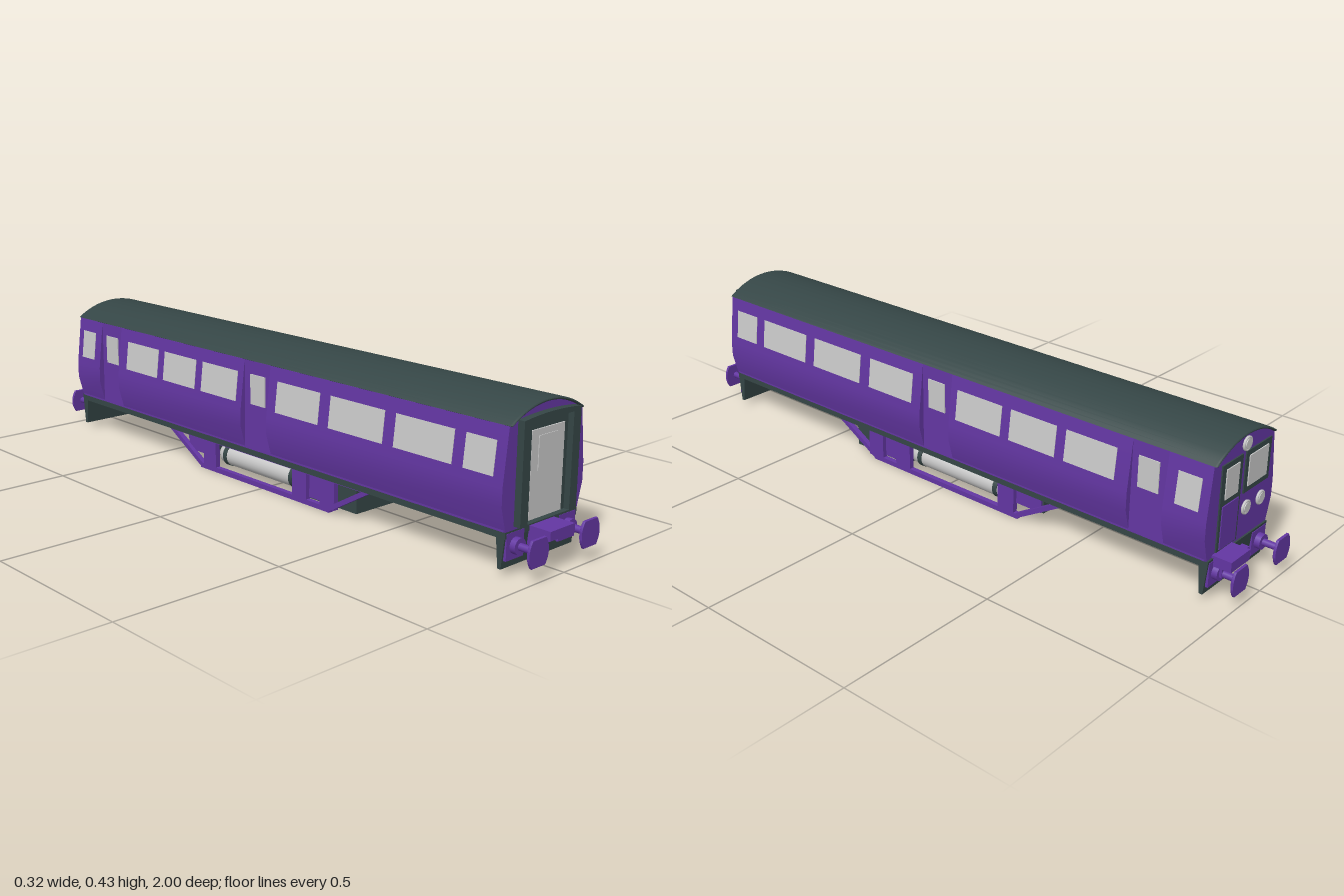
import * as THREE from 'three';
import { toCreasedNormals } from 'three/addons/utils/BufferGeometryUtils.js';

const mat = (name, color) => {
  const m = new THREE.MeshStandardMaterial({ color });
  m.name = name;
  return m;
};

export function createModel() {
  const model = new THREE.Group();
  model.name = 'railwayCoach';
  const purple = mat('purplePaint', 0x6336a2);
  const dark = mat('darkGreyGreen', 0x354646);
  const grey = mat('lightGrey', 0xc8c8c8);

  const add = (name, geo, m, x = 0, y = 0, z = 0) => {
    const mesh = new THREE.Mesh(geo, m);
    mesh.name = name;
    mesh.position.set(x, y, z);
    model.add(mesh);
    return mesh;
  };
  // Box given by its limits on each axis
  const box = (name, m, x0, x1, y0, y1, z0, z1) =>
    add(name, new THREE.BoxGeometry(x1 - x0, y1 - y0, z1 - z0), m,
      (x0 + x1) / 2, (y0 + y1) / 2, (z0 + z1) / 2);
  const shapeOf = (pts) => new THREE.Shape(pts.map((p) => new THREE.Vector2(p[0], p[1])));
  const prism = (name, m, shape, z0, z1, bevel = 0) => {
    const geo = new THREE.ExtrudeGeometry(shape, {
      depth: z1 - z0 - 2 * bevel, curveSegments: 16, bevelEnabled: bevel > 0,
      bevelThickness: bevel, bevelSize: bevel / 2, bevelOffset: -bevel / 2, bevelSegments: 2,
    });
    return add(name, toCreasedNormals(geo, 0.4), m, 0, 0, z0 + bevel);
  };
  // Points of a roof arc from right to left
  const arc = (half, yEdge, yTop, n = 20) => {
    const s = yTop - yEdge, r = (half * half + s * s) / (2 * s), a = Math.asin(half / r);
    return Array.from({ length: n + 1 }, (_, i) => {
      const t = a - (2 * a * i) / n;
      return [r * Math.sin(t), yTop - r + r * Math.cos(t)];
    });
  };

  // Body: narrow core behind the doors, bulging sections between them
  const top = arc(0.143, 0.386, 0.428);
  prism('bodyCore', purple, shapeOf([[-0.1445, 0.118], [0.1445, 0.118], ...top]), -0.915, 0.92);
  const bulge = shapeOf([[-0.161, 0.235], [-0.161, 0.185], [-0.143, 0.118],
    [0.143, 0.118], [0.161, 0.185], [0.161, 0.235], ...top]);
  [[0.06, 0.925], [-0.68, -0.055], [-0.92, -0.79]].forEach(([a, b]) =>
    prism('bodySection', purple, bulge, a, b));

  // Roof shell and floor frame
  const roof = shapeOf([...arc(0.145, 0.387, 0.433), ...arc(0.138, 0.384, 0.425).reverse()]);
  prism('roof', dark, roof, -0.928, 0.932, 0.006);
  box('floorFrame', dark, -0.143, 0.143, 0.1, 0.12, -0.92, 0.925);

  // Side windows, mirrored; door windows stand upright in the recesses
  const tilt = Math.atan(0.018 / 0.15);
  const windows = [[0.797, 0.893], [0.56, 0.76], [0.315, 0.52], [0.096, 0.273],
    [-0.246, -0.08], [-0.438, -0.278], [-0.636, -0.47], [-0.893, -0.823]];
  for (const s of [-1, 1]) {
    for (const [a, b] of windows) {
      add('sideWindow', new THREE.BoxGeometry(0.004, 0.09, b - a), grey,
        s * 0.1525, 0.302, (a + b) / 2).rotation.z = s * tilt;
    }
    for (const z of [0.005, -0.733]) {
      box('doorWindow', grey, s * 0.1445 - 0.002, s * 0.1445 + 0.002, 0.257, 0.347, z - 0.032, z + 0.032);
    }
  }

  // Front gangway: raised ring, recessed wall and end door
  const ring = shapeOf([[-0.112, 0.127], [0.112, 0.127], ...arc(0.112, 0.397, 0.404, 8)]);
  ring.holes.push(new THREE.Path([[-0.083, 0.13], [-0.083, 0.387], [0.083, 0.387], [0.083, 0.13]]
    .map((p) => new THREE.Vector2(p[0], p[1]))));
  prism('gangwayRing', dark, ring, 0.92, 0.945);
  box('gangwayWall', dark, -0.084, 0.084, 0.125, 0.388, 0.915, 0.928);
  box('endDoor', grey, -0.065, 0.065, 0.132, 0.362, 0.92, 0.932);
  box('endDoorWindow', grey, -0.0375, 0.0375, 0.255, 0.345, 0.928, 0.934);

  // Cab end: door, windscreen and lamps
  box('cabDoorFrame', dark, 0.012, 0.108, 0.13, 0.375, -0.924, -0.915);
  box('cabDoorPanel', purple, 0.022, 0.098, 0.135, 0.258, -0.927, -0.918);
  box('cabDoorWindow', grey, 0.03, 0.09, 0.275, 0.36, -0.927, -0.918);
  box('windscreenFrame', dark, -0.127, -0.004, 0.255, 0.375, -0.924, -0.915);
  box('windscreen', grey, -0.11, -0.018, 0.272, 0.36, -0.927, -0.918);
  for (const [x, y] of [[0, 0.4], [-0.022, 0.21], [-0.094, 0.21]]) {
    add('lamp', new THREE.CylinderGeometry(0.014, 0.014, 0.012, 20), grey, x, y, -0.924).rotation.x = Math.PI / 2;
    add('lampRim', new THREE.TorusGeometry(0.017, 0.004, 8, 24), grey, x, y, -0.925);
  }

  // End aprons and buffers
  const apron = shapeOf([[-0.925, 0.12], [-0.915, 0.02], [-0.905, 0.02], [-0.895, 0.12]]);
  const head = new THREE.Shape();
  head.moveTo(-0.026, -0.0365);
  head.lineTo(0.026, -0.0365);
  head.quadraticCurveTo(0.051, 0, 0.026, 0.0365);
  head.lineTo(-0.026, 0.0365);
  head.quadraticCurveTo(-0.051, 0, -0.026, -0.0365);
  for (const s of [-1, 1]) {
    const a = add('endApron', new THREE.ExtrudeGeometry(apron, { depth: 0.286, bevelEnabled: false }), dark);
    a.rotation.y = s * Math.PI / 2;
    a.position.x = -s * 0.143;
    for (const x of [-0.104, 0.104]) {
      const h = prism('bufferHead', purple, head, 0, 0.008, 0.002);
      h.position.set(x, 0.0775, s > 0 ? 0.994 : -0.998);
      add('bufferShaft', new THREE.CylinderGeometry(0.01, 0.01, 0.08, 16), purple, x, 0.0775, s * 0.955).rotation.x = Math.PI / 2;
      add('bufferBase', new THREE.CylinderGeometry(0.022, 0.022, 0.025, 16), purple, x, 0.0775, s * 0.93).rotation.x = Math.PI / 2;
      box('bufferPlate', purple, x - 0.034, x + 0.034, 0.042, 0.113, s * 0.922 - 0.004, s * 0.922 + 0.004);
    }
  }

  // Front coupler wedge and rear step
  const wedge = shapeOf([[-0.91, 0.115], [-0.99, 0.115], [-0.99, 0.09], [-0.93, 0.063], [-0.91, 0.063]]);
  const coupler = add('coupler', new THREE.ExtrudeGeometry(wedge, { depth: 0.098, bevelEnabled: false }), purple, -0.049);
  coupler.rotation.y = Math.PI / 2;
  box('cabStep', purple, 0.03, 0.12, 0.098, 0.128, -0.978, -0.915);
  box('cabStepLower', purple, 0.035, 0.115, 0.07, 0.098, -0.95, -0.915);
  box('rearCoupler', purple, -0.025, 0.025, 0.065, 0.1, -0.945, -0.91);

  // Equipment boxes under the floor
  box('frontEquipmentBox', dark, -0.11, 0.11, 0.015, 0.102, 0.165, 0.38);
  box('rearEquipmentBox', dark, -0.11, 0.11, 0.04, 0.102, -0.37, -0.245);
  box('centreEquipmentBox', dark, -0.04, 0.04, 0.03, 0.102, -0.25, 0.17);

  // Air tanks, side trusses and purple box faces, mirrored
  const tankProfile = [[0, -0.2], [0.02, -0.195], [0.031, -0.18], [0.034, -0.16],
    [0.034, 0.16], [0.031, 0.18], [0.02, 0.195], [0, 0.2]].map((p) => new THREE.Vector2(p[0], p[1]));
  const beam = (name, x, z0, y0, z1, y1, w) => {
    const b = add(name, new THREE.BoxGeometry(0.016, w, Math.hypot(z1 - z0, y1 - y0) + w * 0.6), purple,
      x, (y0 + y1) / 2, (z0 + z1) / 2);
    b.rotation.x = -Math.atan2(y1 - y0, z1 - z0);
  };
  for (const s of [-1, 1]) {
    add('airTank', new THREE.LatheGeometry(tankProfile, 28), grey, s * 0.079, 0.054, -0.037).rotation.x = Math.PI / 2;
    for (const z of [0.11, -0.19]) {
      add('tankStrap', new THREE.CylinderGeometry(0.036, 0.036, 0.016, 28), dark, s * 0.079, 0.054, z).rotation.x = Math.PI / 2;
    }
    const x = s * 0.121;
    beam('trussBottom', x, -0.285, 0.0075, 0.285, 0.0075, 0.015);
    beam('trussTop', x, -0.43, 0.098, 0.43, 0.098, 0.012);
    for (const e of [-1, 1]) beam('trussDiagonal', x, e * 0.285, 0.009, e * 0.435, 0.096, 0.014);
    for (const z of [0.28, 0.165, -0.245]) beam('trussPost', x, z - 0.004, 0.053, z + 0.004, 0.053, 0.085);
    box('frontBoxFace', purple, s * 0.112 - 0.004, s * 0.112 + 0.004, 0.02, 0.088, 0.17, 0.29);
    box('rearBoxFace', purple, s * 0.112 - 0.004, s * 0.112 + 0.004, 0.042, 0.09, -0.365, -0.25);
  }
  return model;
}
